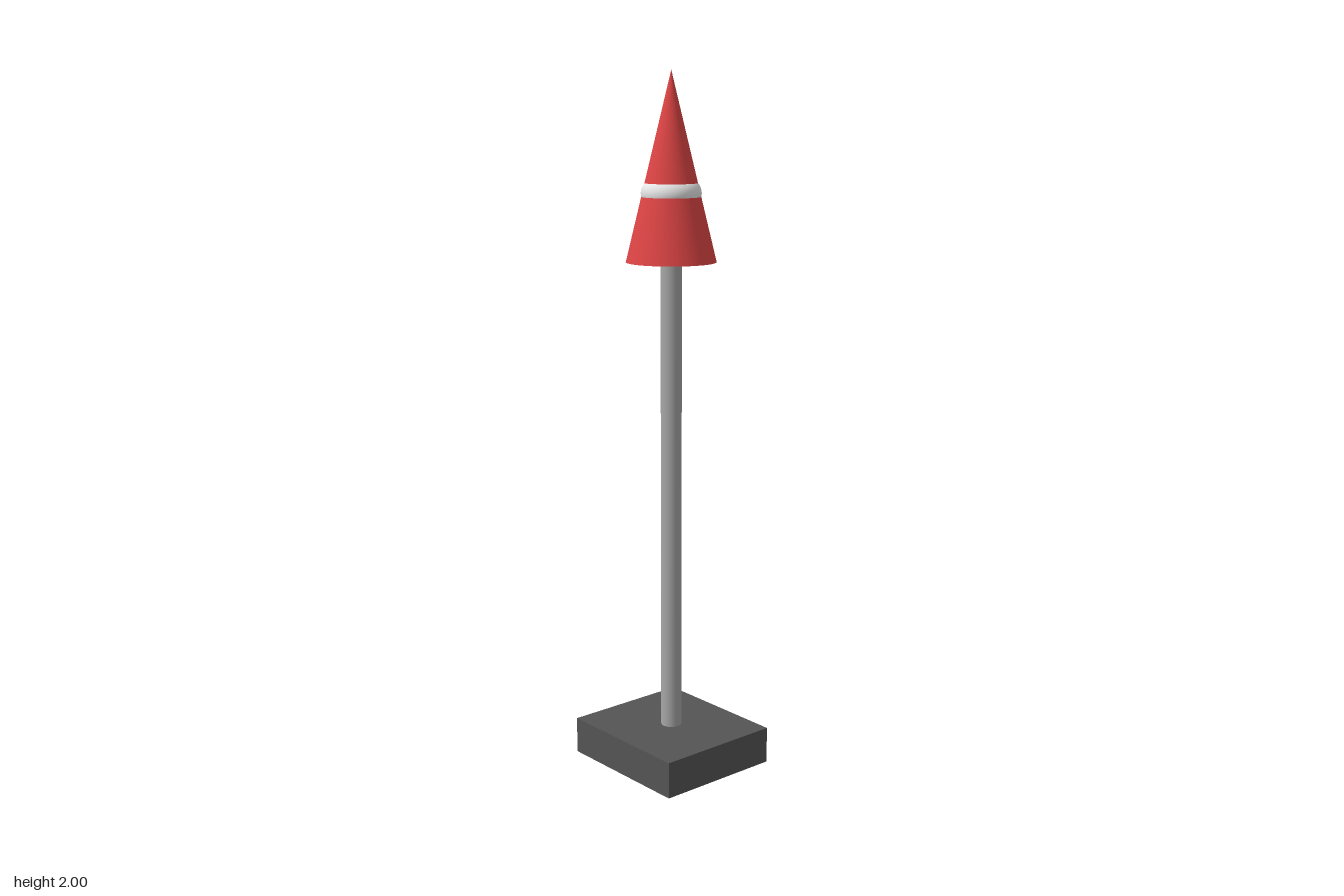
import * as THREE from 'three';

const mat = (name, color) => {
  const m = new THREE.MeshStandardMaterial({ color });
  m.name = name;
  return m;
};

export function createModel() {
  const group = new THREE.Group();
  const darkGrey = mat('darkGrey', 0x555555);
  const poleGrey = mat('poleGrey', 0xa6a6a6);
  const red = mat('red', 0xdd4444);
  const white = mat('white', 0xeeeeee);

  const add = (name, geometry, material, y) => {
    const mesh = new THREE.Mesh(geometry, material);
    mesh.name = name;
    mesh.position.y = y;
    group.add(mesh);
    return mesh;
  };

  const baseHeight = 0.106;
  const coneBottom = 1.477;
  const coneHeight = 2 - coneBottom;
  const poleHeight = coneBottom - baseHeight + 0.02;

  // Rectangular foot
  add('base', new THREE.BoxGeometry(0.424, baseHeight, 0.381), darkGrey, baseHeight / 2);

  // Slim upright, its ends sunk slightly into the foot and the cone
  add('pole', new THREE.CylinderGeometry(0.03, 0.03, poleHeight, 24), poleGrey, (baseHeight + coneBottom) / 2);

  // Pointed head with a closed underside
  add('cone', new THREE.ConeGeometry(0.127, coneHeight, 48), red, coneBottom + coneHeight / 2);

  // Rounded ring that bulges just out of the cone
  const band = new THREE.TorusGeometry(0.0423, 0.0423, 32, 48).rotateX(Math.PI / 2);
  add('band', band, white, 1.667);

  return group;
}
